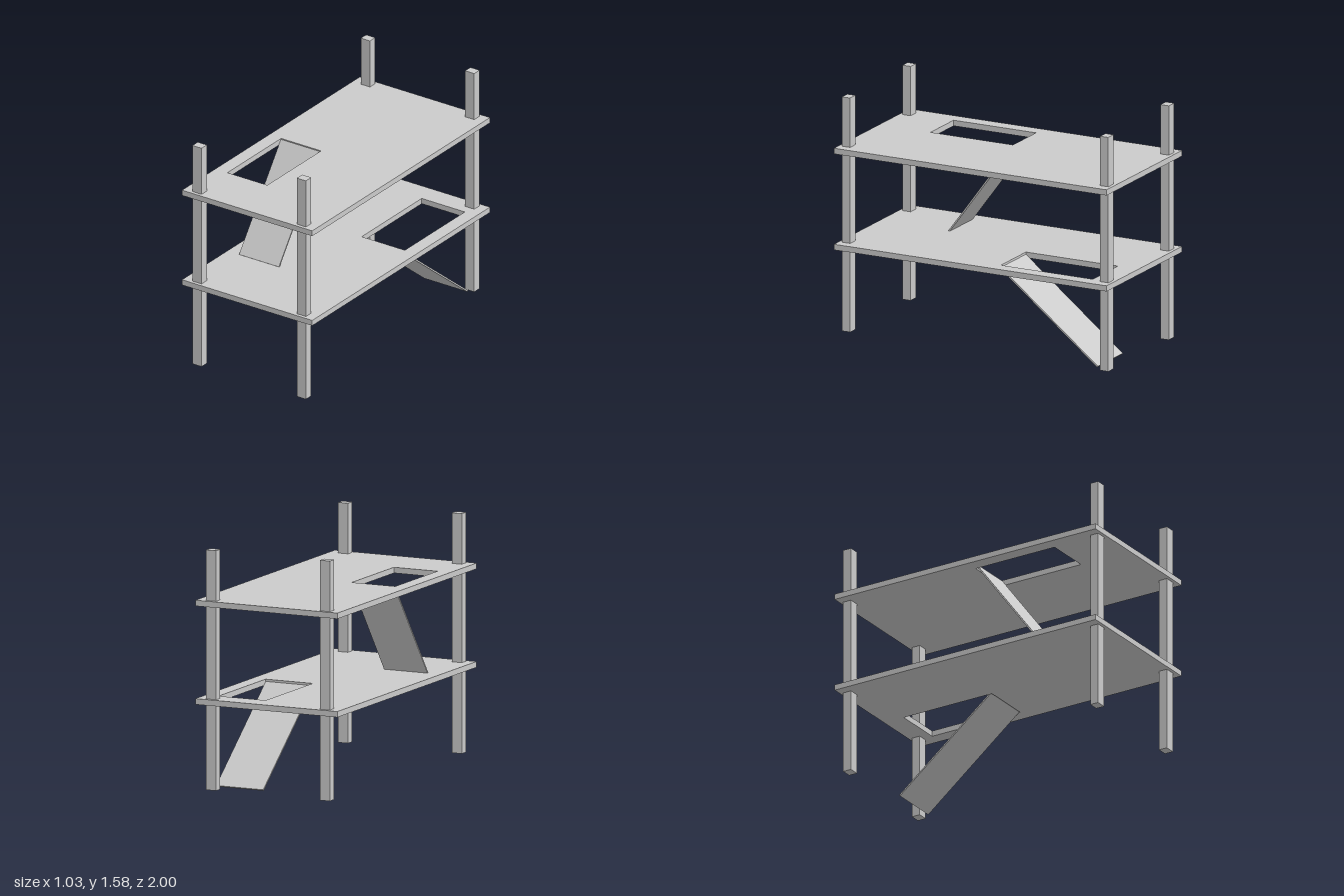
import * as THREE from 'three';

const material = new THREE.MeshStandardMaterial({ color: 0xcccccc, flatShading: true });

function add(group, name, geometry, x = 0, y = 0, z = 0) {
  const mesh = new THREE.Mesh(geometry, material);
  mesh.name = name;
  mesh.position.set(x, y, z);
  group.add(mesh);
  return mesh;
}

function rectangle(PathType, x0, x1, z0, z1) {
  return new PathType([[x0, z0], [x1, z0], [x1, z1], [x0, z1]].map(([x, z]) => new THREE.Vector2(x, z)));
}

// Floor slab with a rectangular ramp opening; top is its upper surface
function addDeck(group, name, top, opening) {
  const shape = rectangle(THREE.Shape, -0.513, 0.513, -1, 1);
  shape.holes.push(rectangle(THREE.Path, ...opening));
  const geometry = new THREE.ExtrudeGeometry(shape, { depth: 0.038, bevelEnabled: false });
  geometry.rotateX(Math.PI / 2);
  add(group, name, geometry, 0, top, 0);
}

// Thin sloping board between two points given as [z, y]
function addRamp(group, name, x0, x1, [zA, yA], [zB, yB]) {
  const dz = zB - zA, dy = yB - yA;
  const geometry = new THREE.BoxGeometry(x1 - x0, 0.01, Math.hypot(dz, dy));
  const ramp = add(group, name, geometry, (x0 + x1) / 2, (yA + yB) / 2, (zA + zB) / 2);
  ramp.rotation.x = -Math.atan(dy / dz);
}

export function createModel() {
  const group = new THREE.Group();
  group.name = 'twoStoreyPlatform';

  // Corner posts
  const post = new THREE.BoxGeometry(0.072, 1.575, 0.06);
  for (const [sideX, x] of [['right', -0.411], ['left', 0.411]]) {
    for (const [sideZ, z] of [['Front', 0.947], ['Back', -0.947]]) {
      add(group, `${sideX}${sideZ}Post`, post, x, 0.7875, z);
    }
  }

  // Decks with openings
  addDeck(group, 'lowerDeck', 0.597, [0.08, 0.42, -0.85, -0.175]);
  addDeck(group, 'upperDeck', 1.243, [-0.418, -0.104, 0.02, 0.625]);

  // Ramps rising through the openings
  addRamp(group, 'lowerRamp', 0.08, 0.42, [-0.883, 0.012], [-0.167, 0.582]);
  addRamp(group, 'upperRamp', -0.418, -0.104, [0.49, 0.597], [0.02, 1.235]);

  return group;
}
